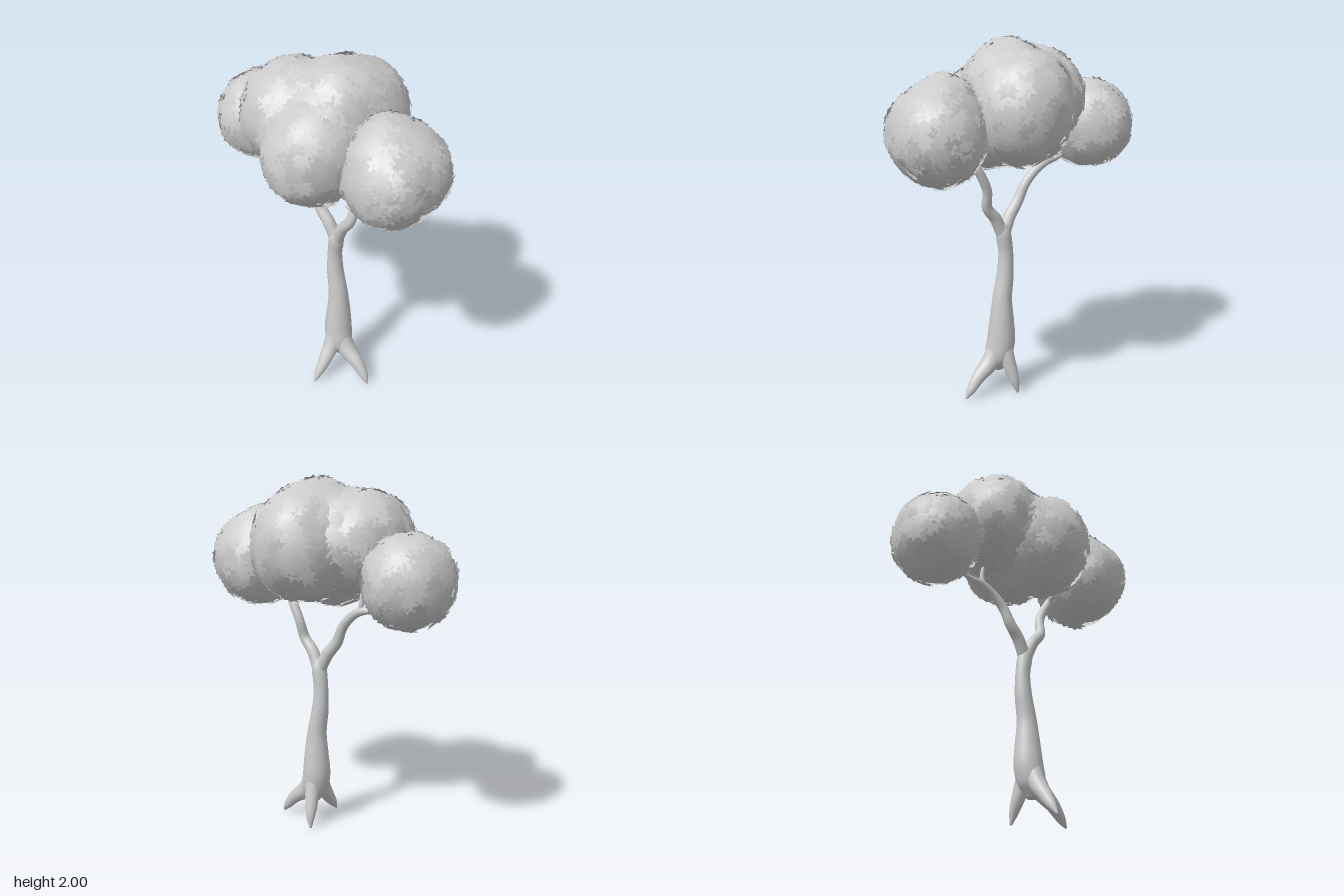
import * as THREE from 'three';
import { mergeGeometries } from 'three/addons/utils/BufferGeometryUtils.js';

const V = (a) => new THREE.Vector3(...a);

function seeded(seed) {
  return () => {
    seed = (seed * 16807) % 2147483647;
    return seed / 2147483647;
  };
}

// Tapered limb through stations of [x, y, z, radius], closed at both ends
function limb(stations, sides = 14, steps = 8) {
  const curve = new THREE.CatmullRomCurve3(stations.map((s) => V(s.slice(0, 3))));
  const radii = new THREE.CatmullRomCurve3(stations.map((s, i) => new THREE.Vector3(s[3], i, 0)));
  const n = (stations.length - 1) * steps;
  const pos = [], index = [];
  for (let i = 0; i <= n; i++) {
    const t = i / n;
    const c = curve.getPoint(t), r = Math.max(radii.getPoint(t).x, 0.002);
    const dir = curve.getTangent(t);
    // Axes kept close to a fixed reference so that rings never twist
    const u = new THREE.Vector3().crossVectors(V([0, 0, 1]), dir).normalize();
    const v = new THREE.Vector3().crossVectors(dir, u);
    for (let j = 0; j < sides; j++) {
      const a = (j / sides) * Math.PI * 2;
      const p = c.clone().addScaledVector(u, r * Math.cos(a)).addScaledVector(v, r * Math.sin(a));
      pos.push(p.x, p.y, p.z);
      if (i < n) {
        const k = (j + 1) % sides, b = i * sides, d = b + sides;
        index.push(b + j, b + k, d + j, b + k, d + k, d + j);
      }
    }
  }
  for (const [row, end] of [[0, 0], [n, 1]]) {
    const c = curve.getPoint(end), id = pos.length / 3;
    pos.push(c.x, c.y, c.z);
    for (let j = 0; j < sides; j++) {
      const a = row * sides + j, b = row * sides + ((j + 1) % sides);
      if (end) index.push(id, a, b);
      else index.push(id, b, a);
    }
  }
  const g = new THREE.BufferGeometry();
  g.setAttribute('position', new THREE.Float32BufferAttribute(pos, 3));
  g.setIndex(index);
  g.computeVertexNormals();
  return g;
}

// Foliage masses: ellipsoid lobes (centre, radii) that melt into one another
const lobe = (c, r) => ({ c: V(c), r: V(r) });
const MASSES = [
  { name: 'rightFoliage', lobes: [lobe([-0.5, 1.48, 0.01], [0.237, 0.248, 0.258])] },
  { name: 'leftFoliage', lobes: [
    lobe([0.49, 1.51, -0.03], [0.23, 0.255, 0.275]),
    lobe([0.45, 1.62, -0.03], [0.18, 0.205, 0.19]),
    lobe([0.55, 1.54, -0.1], [0.17, 0.21, 0.18]),
    lobe([0.55, 1.53, 0.05], [0.17, 0.2, 0.17])] },
  { name: 'crownFoliage', lobes: [
    lobe([0.098, 1.55, 0.148], [0.258, 0.287, 0.283]),
    lobe([0.07, 1.64, -0.15], [0.275, 0.305, 0.29]),
    lobe([0.07, 1.755, -0.03], [0.23, 0.225, 0.22]),
    lobe([-0.165, 1.655, 0.06], [0.255, 0.27, 0.295])] },
];

function lobeDistance(p, { c, r }) {
  const q = p.clone().sub(c).divide(r);
  const k = q.length();
  return (k * (k - 1)) / Math.max(q.divide(r).length(), 1e-6);
}

// Smooth union of the lobes of a mass
function field(p, lobes, blend = 0.06) {
  return lobes.map((l) => lobeDistance(p, l)).reduce((a, b) => {
    const h = Math.max(blend - Math.abs(a - b), 0) / blend;
    return Math.min(a, b) - (h * h * blend) / 4;
  });
}

function gradient(p, lobes) {
  const e = 0.004;
  const d = (axis) => field(p.clone().add(V(axis)), lobes) - field(p.clone().sub(V(axis)), lobes);
  return V([d([e, 0, 0]), d([0, e, 0]), d([0, 0, e])]).normalize();
}

// Rounded core: a sphere whose vertices are moved out to just under the surface
function foliageCore(lobes) {
  const centre = new THREE.Vector3();
  lobes.forEach((l) => centre.addScaledVector(l.c, 1 / lobes.length));
  const g = new THREE.SphereGeometry(1, 64, 44);
  const at = g.attributes.position, normals = g.attributes.normal;
  for (let i = 0; i < at.count; i++) {
    const dir = new THREE.Vector3().fromBufferAttribute(at, i);
    let near = 0, far = 0.9;
    for (let k = 0; k < 16; k++) {
      const mid = (near + far) / 2;
      if (field(centre.clone().addScaledVector(dir, mid), lobes) < -0.018) near = mid;
      else far = mid;
    }
    const p = centre.clone().addScaledVector(dir, near);
    const n = gradient(p, lobes);
    at.setXYZ(i, p.x, p.y, p.z);
    normals.setXYZ(i, n.x, n.y, n.z);
  }
  return g;
}

// Star-shaped leaf lying on the foliage, drooping slightly with the surface
function starLeaf(centre, normal, rand) {
  const facing = normal.clone()
    .add(V([rand() - 0.5, rand() - 0.5, rand() - 0.5]).multiplyScalar(0.35)).normalize();
  const q = new THREE.Quaternion().setFromUnitVectors(V([0, 0, 1]), facing);
  const size = 0.056 + rand() * 0.014, spin = rand() * 6.28, points = 8;
  const lift = rand() * 0.014 - 0.008;
  const pos = [], nor = [], index = [];
  for (let i = 0; i <= points * 2; i++) {
    const radius = i === 0 ? 0 : size * (i % 2 ? 1 : 0.6);
    const a = spin + (i / (points * 2)) * Math.PI * 2;
    const p = V([Math.cos(a) * radius, Math.sin(a) * radius, 0]).applyQuaternion(q);
    const m = normal.clone().lerp(facing, 0.7).addScaledVector(p, 2.5).normalize();
    p.addScaledVector(facing, lift - 0.7 * radius * radius).add(centre);
    pos.push(p.x, p.y, p.z);
    nor.push(m.x, m.y, m.z);
    if (i > 0) index.push(0, i, (i % (points * 2)) + 1);
  }
  const g = new THREE.BufferGeometry();
  g.setAttribute('position', new THREE.Float32BufferAttribute(pos, 3));
  g.setAttribute('normal', new THREE.Float32BufferAttribute(nor, 3));
  g.setIndex(index);
  return g;
}

// Leaves spread evenly over every lobe, dropped where a neighbour covers them
function starLeaves(mass, rand) {
  const leaves = [];
  for (const { c, r } of mass.lobes) {
    const count = Math.round(2900 * r.x * r.y);
    for (let i = 0; i < count; i++) {
      const y = 1 - (2 * (i + 0.5)) / count, s = Math.sqrt(1 - y * y);
      const a = i * 2.39996 + rand() * 0.15;
      const p = V([Math.cos(a) * s, y, Math.sin(a) * s]).multiply(r).add(c);
      if (MASSES.some((m) => field(p, m.lobes) < -0.035)) continue;
      for (let k = 0; k < 3; k++) p.addScaledVector(gradient(p, mass.lobes), -field(p, mass.lobes));
      leaves.push(starLeaf(p, gradient(p, mass.lobes), rand));
    }
  }
  return mergeGeometries(leaves);
}

export function createModel() {
  const tree = new THREE.Group();
  tree.name = 'tree';
  const bark = new THREE.MeshStandardMaterial({ color: 0xcccccc });
  const leaf = new THREE.MeshStandardMaterial({ color: 0xcccccc, side: THREE.DoubleSide });
  const add = (name, geometry, material = bark, parent = tree) => {
    const mesh = new THREE.Mesh(geometry, material);
    mesh.name = name;
    parent.add(mesh);
  };

  // Trunk, swaying gently up to the fork
  add('trunk', limb([
    [0.13, 0.13, -0.01, 0.03], [0.128, 0.2, -0.01, 0.072], [0.11, 0.3, -0.015, 0.079],
    [0.107, 0.42, -0.018, 0.069], [0.103, 0.55, -0.018, 0.055], [0.08, 0.7, -0.015, 0.047],
    [0.076, 0.82, -0.014, 0.041], [0.09, 0.93, -0.012, 0.042], [0.092, 0.985, -0.01, 0.025],
  ], 20));

  // Three roots splaying out to pointed tips, two branches and their twigs
  const limbs = {
    leftRoot: [[0.12, 0.32, -0.01, 0.05], [0.18, 0.19, -0.015, 0.052], [0.27, 0.115, -0.025, 0.038],
      [0.325, 0.05, -0.03, 0.025], [0.355, 0.008, -0.03, 0.006]],
    frontRoot: [[0.115, 0.32, 0, 0.05], [0.12, 0.2, 0.045, 0.048], [0.13, 0.12, 0.105, 0.038],
      [0.135, 0.06, 0.155, 0.026], [0.14, 0.008, 0.195, 0.006]],
    backRoot: [[0.115, 0.32, -0.03, 0.05], [0.1, 0.2, -0.065, 0.042], [0.085, 0.12, -0.09, 0.034],
      [0.075, 0.06, -0.108, 0.023], [0.066, 0.004, -0.118, 0.006]],
    rightBranch: [[0.085, 0.92, -0.012, 0.034], [0.04, 1.015, 0, 0.034], [-0.02, 1.09, 0.01, 0.031],
      [-0.065, 1.18, 0.005, 0.027], [-0.13, 1.25, 0, 0.025], [-0.2, 1.29, 0, 0.023],
      [-0.28, 1.302, 0.01, 0.016], [-0.35, 1.335, 0.015, 0.012], [-0.42, 1.4, 0.02, 0.006]],
    rightTwig: [[-0.185, 1.275, 0, 0.016], [-0.2, 1.33, 0, 0.014], [-0.195, 1.42, 0.01, 0.01], [-0.18, 1.5, 0.02, 0.006]],
    leftBranch: [[0.095, 0.92, -0.012, 0.034], [0.14, 1.02, -0.01, 0.033], [0.195, 1.09, -0.015, 0.029],
      [0.21, 1.19, -0.04, 0.026], [0.25, 1.28, -0.045, 0.025], [0.285, 1.34, -0.04, 0.022], [0.3, 1.38, -0.04, 0.008]],
    leftTwigBack: [[0.275, 1.32, -0.04, 0.017], [0.32, 1.37, -0.06, 0.013], [0.4, 1.44, -0.09, 0.006]],
    leftTwigFront: [[0.275, 1.32, -0.04, 0.017], [0.28, 1.37, 0.01, 0.013], [0.25, 1.45, 0.06, 0.006]],
  };
  for (const [name, stations] of Object.entries(limbs)) add(name, limb(stations));

  // Foliage: rounded cores under overlapping star leaves
  const rand = seeded(71);
  for (const mass of MASSES) {
    const group = new THREE.Group();
    group.name = mass.name;
    tree.add(group);
    add('foliageCore', foliageCore(mass.lobes), leaf, group);
    add('starLeaves', starLeaves(mass, rand), leaf, group);
  }
  return tree;
}
